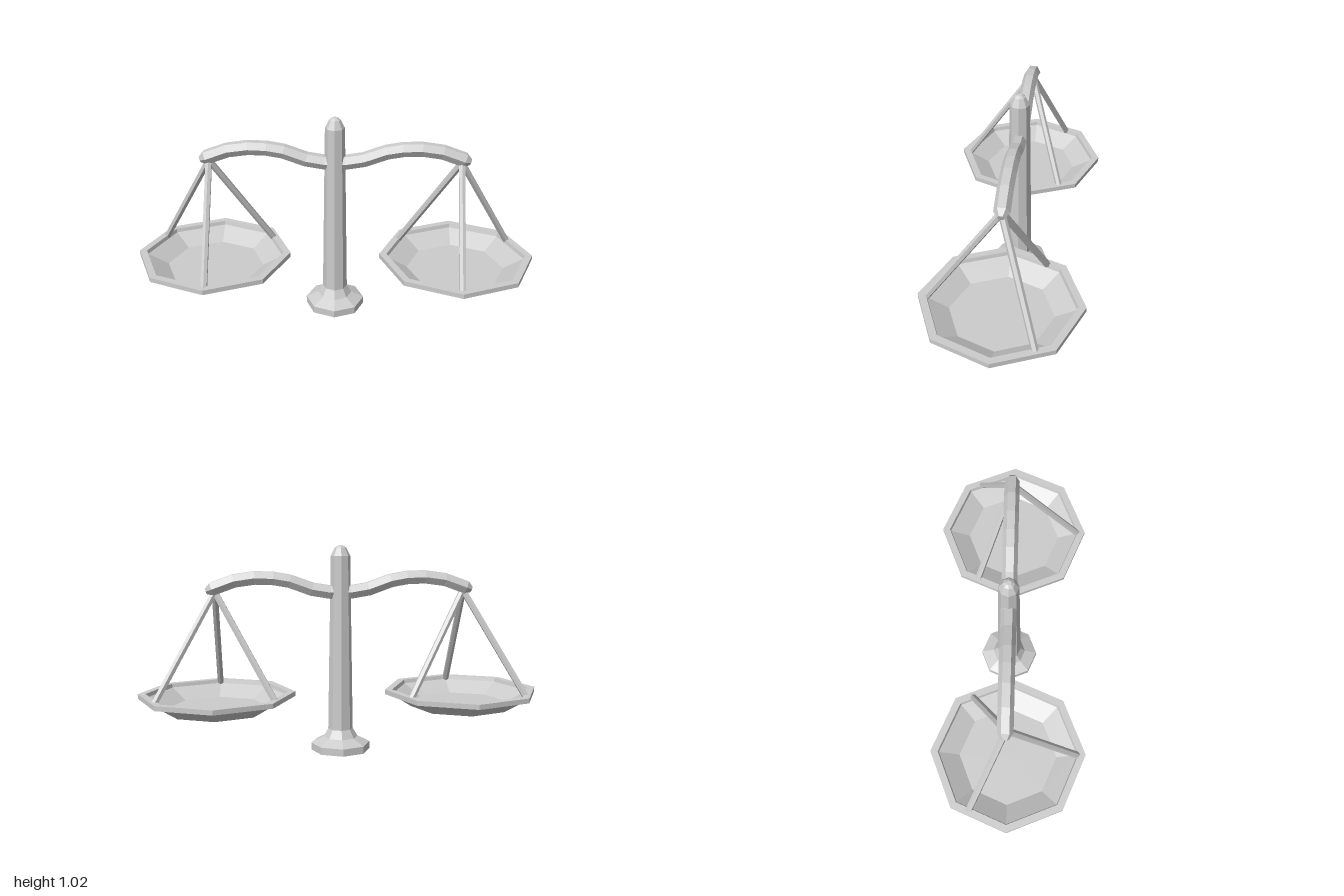
import * as THREE from 'three';

const material = new THREE.MeshStandardMaterial({ color: 0xcccccc, flatShading: true });

function addMesh(parent, name, geometry) {
  const flat = geometry.toNonIndexed();
  flat.computeVertexNormals();
  const mesh = new THREE.Mesh(flat, material);
  mesh.name = name;
  parent.add(mesh);
  return mesh;
}

// Eight-sided turned part from [radius, height] pairs
function turned(profile) {
  return new THREE.LatheGeometry(profile.map(([r, y]) => new THREE.Vector2(r, y)), 8);
}

// Straight rod between two points
function addRod(parent, name, from, to, radius) {
  const dir = to.clone().sub(from);
  const rod = addMesh(parent, name, new THREE.CylinderGeometry(radius, radius, dir.length(), 6));
  rod.position.copy(from).add(to).multiplyScalar(0.5);
  rod.quaternion.setFromUnitVectors(new THREE.Vector3(0, 1, 0), dir.normalize());
}

// Six-sided bar bent along a wavy, mirrored path, with pinched tips
function beamGeometry() {
  // x, y, thickness scale
  const half = [
    [0.05, 0.795, 1], [0.14, 0.81, 1], [0.25, 0.85, 1], [0.33, 0.864, 1],
    [0.42, 0.867, 1], [0.52, 0.853, 1], [0.627, 0.814, 1], [0.655, 0.803, 0.45],
  ];
  const path = [...half.map(([x, y, s]) => [-x, y, s]).reverse(), ...half];
  const last = path.length - 1;
  const geo = new THREE.CylinderGeometry(0.037, 0.037, last, 6, last);
  geo.rotateZ(-Math.PI / 2);
  const pos = geo.attributes.position;
  for (let i = 0; i < pos.count; i++) {
    const k = Math.round(pos.getX(i) + last / 2);
    const a = path[Math.max(k - 1, 0)], b = path[Math.min(k + 1, last)];
    const [x, y, s] = path[k];
    const angle = Math.atan2(b[1] - a[1], b[0] - a[0]);
    const h = pos.getY(i) * s;
    pos.setXYZ(i, x - Math.sin(angle) * h, y + Math.cos(angle) * h, pos.getZ(i) * s);
  }
  return geo;
}

export function createModel() {
  const model = new THREE.Group();
  model.name = 'balanceScale';
  const axisZ = -0.01;

  // Flared foot, tapering column and rounded cap
  addMesh(model, 'post', turned([
    [0, 0], [0.148, 0], [0.148, 0.036], [0.086, 0.066], [0.062, 0.108],
    [0.048, 0.972], [0.028, 1.012], [0.012, 1.023], [0, 1.023],
  ])).position.z = axisZ;

  addMesh(model, 'beam', beamGeometry()).position.z = axisZ;

  // Hanging pans, each on three rods
  for (const [side, sign] of [['left', 1], ['right', -1]]) {
    const hanger = new THREE.Group();
    hanger.name = side + 'Hanger';
    hanger.position.x = sign * 0.613;
    model.add(hanger);

    addMesh(hanger, side + 'Pan', turned([
      [0, 0.212], [0.255, 0.212], [0.355, 0.275], [0.387, 0.275], [0.387, 0.299],
      [0.35, 0.299], [0.345, 0.28], [0.245, 0.225], [0, 0.225],
    ]));

    const top = new THREE.Vector3(0, 0.8, -0.007);
    for (const [name, x, z] of [['FrontRod', 0, 0.35], ['BackRodA', 0.287, -0.186], ['BackRodB', -0.287, -0.186]]) {
      addRod(hanger, side + name, top, new THREE.Vector3(x, 0.283, z), 0.017);
    }
  }
  return model;
}
